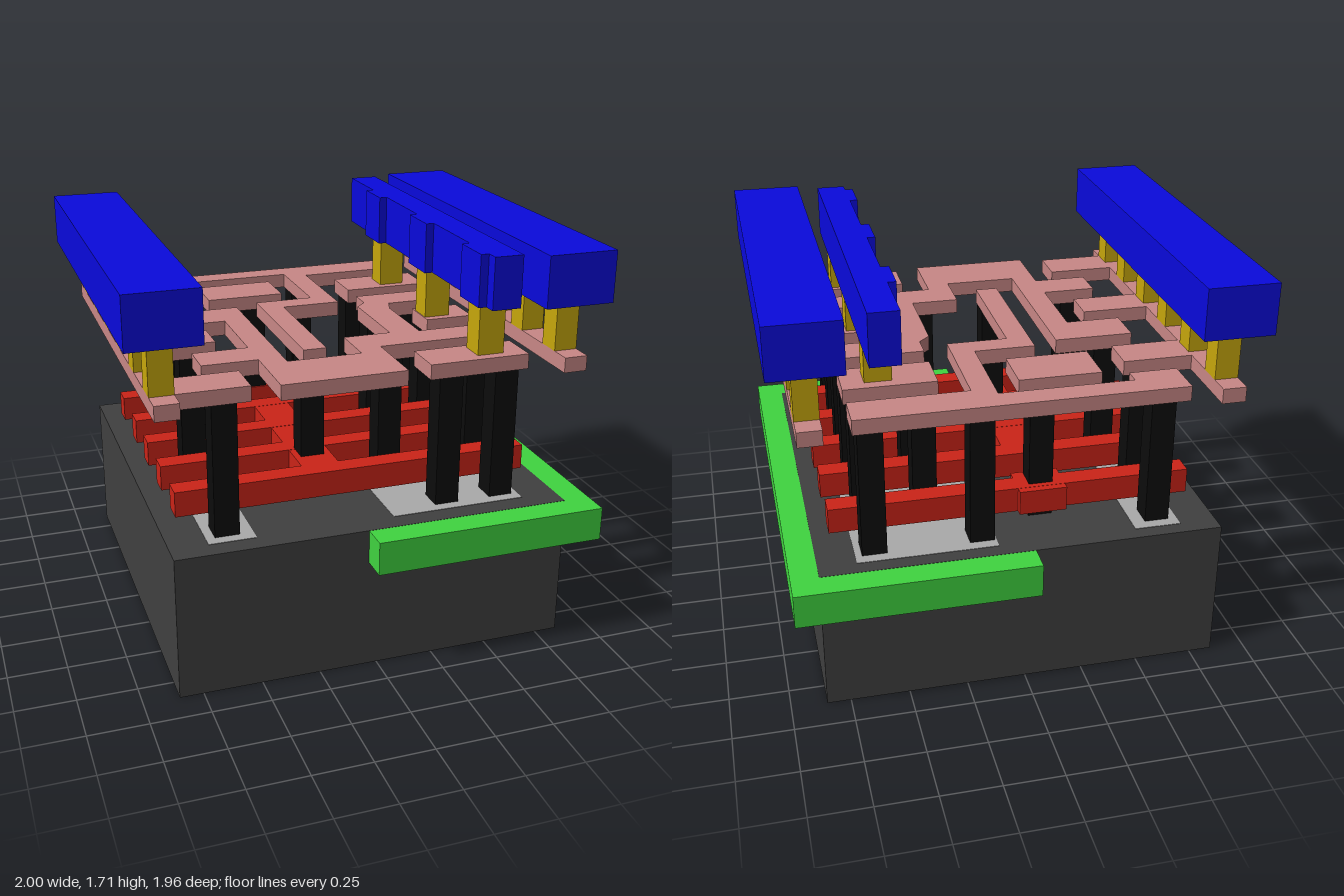
import * as THREE from 'three';

// Layered circuit cell: substrate, well, gate strips, contact posts, metal and power bars
export function createModel() {
  const model = new THREE.Group();
  const mat = (color) => new THREE.MeshStandardMaterial({ color, flatShading: true });
  const M = {
    base: mat(0x404040), well: mat(0x40d440), diffusion: mat(0xaaaaaa), gate: mat(0xcc2418),
    post: mat(0x0c0c0c), metal: mat(0xc98886), via: mat(0xc8a80c), bar: mat(0x0a0adc),
  };

  // Box given by its limits
  function box(name, m, x0, x1, y0, y1, z0, z1) {
    const mesh = new THREE.Mesh(new THREE.BoxGeometry(x1 - x0, y1 - y0, z1 - z0), m);
    mesh.position.set((x0 + x1) / 2, (y0 + y1) / 2, (z0 + z1) / 2);
    mesh.name = name;
    model.add(mesh);
  }

  // Flat plate from an outline of [x, z] corners
  function plate(name, m, y0, y1, points) {
    const shape = new THREE.Shape(points.map(([x, z]) => new THREE.Vector2(x, -z)));
    const geo = new THREE.ExtrudeGeometry(shape, { depth: y1 - y0, bevelEnabled: false });
    geo.rotateX(-Math.PI / 2).translate(0, y0, 0);
    const mesh = new THREE.Mesh(geo, m);
    mesh.name = name;
    model.add(mesh);
  }

  // Substrate, well and the two thin diffusion areas
  box('substrate', M.base, -0.85, 0.85, 0, 0.626, -0.865, 0.865);
  box('well', M.well, -0.04, 0.965, 0.48, 0.625, -0.98, 0.98);
  box('leftDiffusion', M.diffusion, -0.69, -0.49, 0.6, 0.628, -0.8, 0.78);
  box('rightDiffusion', M.diffusion, 0.1, 0.69, 0.6, 0.628, -0.8, 0.78);

  // Gate strips across the cell, joined by a plate and a pad
  for (const z of [-0.57, -0.27, 0, 0.27, 0.54])
    box('gateStrip', M.gate, -0.78, 0.78, 0.67, 0.78, z - 0.047, z + 0.047);
  box('gatePlate', M.gate, -0.21, -0.045, 0.671, 0.779, -0.31, 0.58);
  box('gatePad', M.gate, -0.23, -0.025, 0.671, 0.779, -0.65, -0.48);

  // Contact posts
  const posts = [
    [-0.6, -0.7], [-0.6, -0.43], [-0.53, -0.13], [-0.6, 0.13], [-0.53, 0.41], [-0.6, 0.68],
    [-0.13, -0.54], [-0.13, 0.35],
    [0.16, -0.7], [0.61, -0.7], [0.35, -0.43], [0.61, -0.43], [0.35, -0.13], [0.61, -0.13],
    [0.61, 0.13], [0.2, 0.41], [0.61, 0.41], [0.36, 0.68], [0.61, 0.68],
  ];
  for (const [x, z] of posts)
    box('contactPost', M.post, x - 0.052, x + 0.052, 0.62, 1.212, z - 0.052, z + 0.052);

  // First metal layer
  const y0 = 1.21, y1 = 1.275;
  plate('upperTrace', M.metal, y0, y1, [
    [-0.69, -0.81], [0.685, -0.81], [0.685, -0.65], [0.185, -0.65], [0.185, -0.17], [-0.08, -0.17],
    [-0.08, 0.435], [-0.18, 0.435], [-0.18, -0.275], [0.085, -0.275], [0.085, -0.7],
    [-0.485, -0.7], [-0.485, -0.63], [-0.69, -0.63],
  ]);
  plate('lowerTrace', M.metal, y0, y1, [
    [-0.63, -0.235], [-0.285, -0.235], [-0.285, 0.545], [0.035, 0.545], [0.035, 0.33], [0.245, 0.33],
    [0.245, -0.07], [0.295, -0.12], [0.295, -0.225], [0.685, -0.225], [0.685, -0.075], [0.4, -0.075],
    [0.375, 0], [0.375, 0.345], [0.685, 0.345], [0.685, 0.49], [0.14, 0.49], [0.14, 0.8],
    [-0.39, 0.8], [-0.39, 0.49], [-0.63, 0.49], [-0.63, 0.33], [-0.39, 0.33], [-0.39, -0.05],
    [-0.63, -0.05],
  ]);
  box('inputPad', M.metal, -0.38, -0.025, y0, y1, -0.6, -0.38);
  box('outputPad', M.metal, 0.295, 0.685, y0, y1, -0.535, -0.335);
  box('outputPad', M.metal, 0.47, 0.685, y0, y1, 0.04, 0.215);
  box('outputPad', M.metal, 0.25, 0.685, y0, y1, 0.59, 0.77);

  // Left rail with its three fingers, and right rail
  plate('leftRail', M.metal, y0, y1, [
    [-0.9, -0.865], [-0.8, -0.865], [-0.8, -0.52], [-0.5, -0.52], [-0.5, -0.35], [-0.8, -0.35],
    [-0.8, 0.05], [-0.5, 0.05], [-0.5, 0.215], [-0.8, 0.215], [-0.8, 0.59], [-0.5, 0.59],
    [-0.5, 0.77], [-0.8, 0.77], [-0.8, 0.865], [-0.9, 0.865],
  ]);
  box('rightRail', M.metal, 0.8, 0.9, y0, y1, -0.865, 0.865);

  // Vias up to the power bars
  for (const s of [-1, 1]) {
    for (const z of [-0.72, -0.43, -0.145, 0.145, 0.43, 0.72])
      box('via', M.via, s * 0.85 - 0.05, s * 0.85 + 0.05, 1.274, 1.491, z - 0.053, z + 0.053);
    box('powerBar', M.bar, s * 0.85 - 0.15, s * 0.85 + 0.15, 1.49, 1.71, -0.865, 0.865);
  }

  // Middle bar, widened above each of its vias
  const widths = [[-0.52, -0.34], [0.03, 0.215], [0.58, 0.76]];
  const outline = [[0.61, 0.815], [0.61, -0.82], [0.485, -0.82]];
  for (const [a, b] of widths) {
    outline.push([0.485, a], [0.45, a], [0.45, b], [0.485, b]);
    const z = (a + b) / 2;
    box('middleVia', M.via, 0.475, 0.59, 1.274, 1.491, z - 0.055, z + 0.055);
  }
  outline.push([0.485, 0.815]);
  plate('middleBar', M.bar, 1.49, 1.71, outline);
  return model;
}
